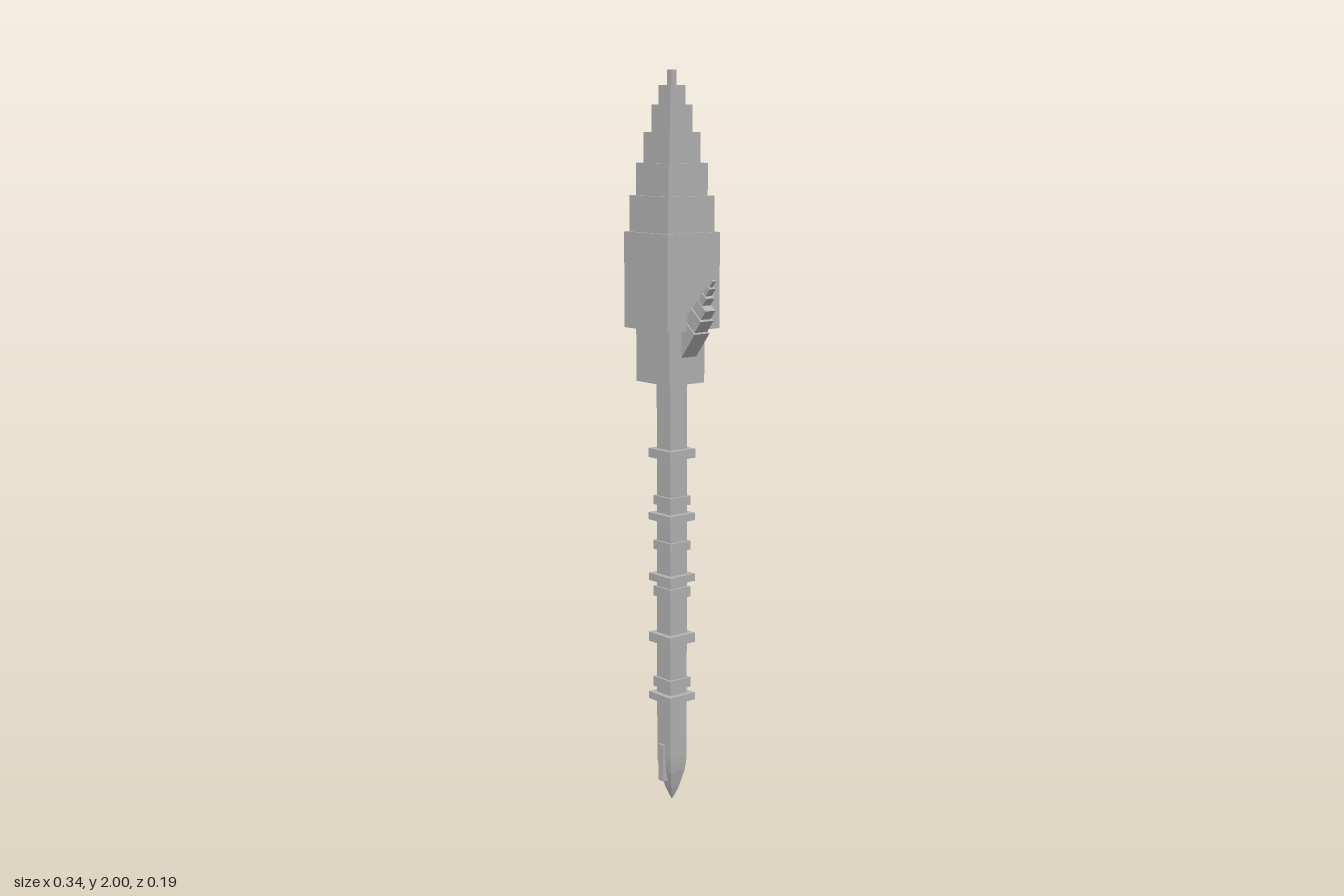
import * as THREE from 'three';

export function createModel() {
  const model = new THREE.Group();
  const stone = new THREE.MeshStandardMaterial({ color: 0xb2b2b2 });
  stone.name = 'grey stone';
  const CZ = 0.003; // shared centre line in z

  // box from its minimum and maximum corners
  function box(name, x0, x1, y0, y1, z0, z1, parent = model) {
    const mesh = new THREE.Mesh(new THREE.BoxGeometry(x1 - x0, y1 - y0, z1 - z0), stone);
    mesh.position.set((x0 + x1) / 2, (y0 + y1) / 2, (z0 + z1) / 2);
    mesh.name = name;
    parent.add(mesh);
    return mesh;
  }
  const square = (name, half, y0, y1) => box(name, -half, half, y0, y1, CZ - half, CZ + half);

  // stepped head
  const tiers = [
    [0.09, 1.325, 1.58], [0.08, 1.58, 1.675], [0.067, 1.675, 1.76], [0.053, 1.76, 1.84],
    [0.038, 1.84, 1.91], [0.025, 1.91, 1.96], [0.009, 1.96, 2.0],
  ];
  tiers.forEach(([half, y0, y1], i) => square('headTier' + (i + 1), half, y0, y1));
  box('backRib', -0.04, 0.015, 1.355, 1.76, -0.095, -0.05);

  // collar below the head
  box('collar', -0.07, 0.07, 1.18, 1.325, -0.05, 0.069);
  box('collarBackPlate', -0.063, 0.063, 1.2, 1.325, -0.058, -0.04);

  // shaft with wide and narrow rings
  square('shaft', 0.029, 0.13, 1.18);
  const wide = 0.045, narrow = 0.036;
  const rings = [
    [0.985, wide, 0.025], [0.855, narrow, 0.025], [0.81, wide, 0.02], [0.73, narrow, 0.025],
    [0.64, wide, 0.02], [0.6, narrow, 0.028], [0.47, wide, 0.026], [0.342, narrow, 0.028],
    [0.302, wide, 0.02],
  ];
  for (const [y, half, h] of rings) square('shaftRing', half, y - h / 2, y + h / 2);

  // four-sided pointed foot
  const profile = [[0, 0], [0.006, 0.015], [0.013, 0.035], [0.019, 0.06], [0.025, 0.085], [0.028, 0.11], [0.029, 0.13]]
    .map(([r, y]) => new THREE.Vector2(r * Math.SQRT2, y));
  const pointGeo = new THREE.LatheGeometry(profile, 4, Math.PI / 4).toNonIndexed();
  pointGeo.computeVertexNormals();
  const point = new THREE.Mesh(pointGeo, stone);
  point.name = 'footPoint';
  point.position.z = CZ;
  model.add(point);
  box('footPlate', -0.015, 0.005, 0.06, 0.165, 0.01, 0.039);

  // stepped side barbs: distance from tip (start, end), depth outward, half thickness
  const steps = [
    [0, 0.02, 0.006, 0.005], [0.02, 0.045, 0.013, 0.01], [0.045, 0.07, 0.022, 0.014],
    [0.07, 0.1, 0.043, 0.017], [0.1, 0.14, 0.05, 0.022], [0.14, 0.23, 0.056, 0.026],
  ];
  for (const side of ['left', 'right']) {
    const holder = new THREE.Group();
    holder.name = side + 'Barb';
    holder.position.z = CZ;
    if (side === 'right') holder.rotation.y = Math.PI;
    const barb = new THREE.Group();
    barb.name = side + 'BarbSteps';
    barb.position.set(0.167, 1.463, 0);
    barb.rotation.z = -0.675;
    for (const [s0, s1, depth, hz] of steps) box('barbStep', 0, depth, -s1, -s0, -hz, hz, barb);
    holder.add(barb);
    model.add(holder);
  }
  return model;
}
